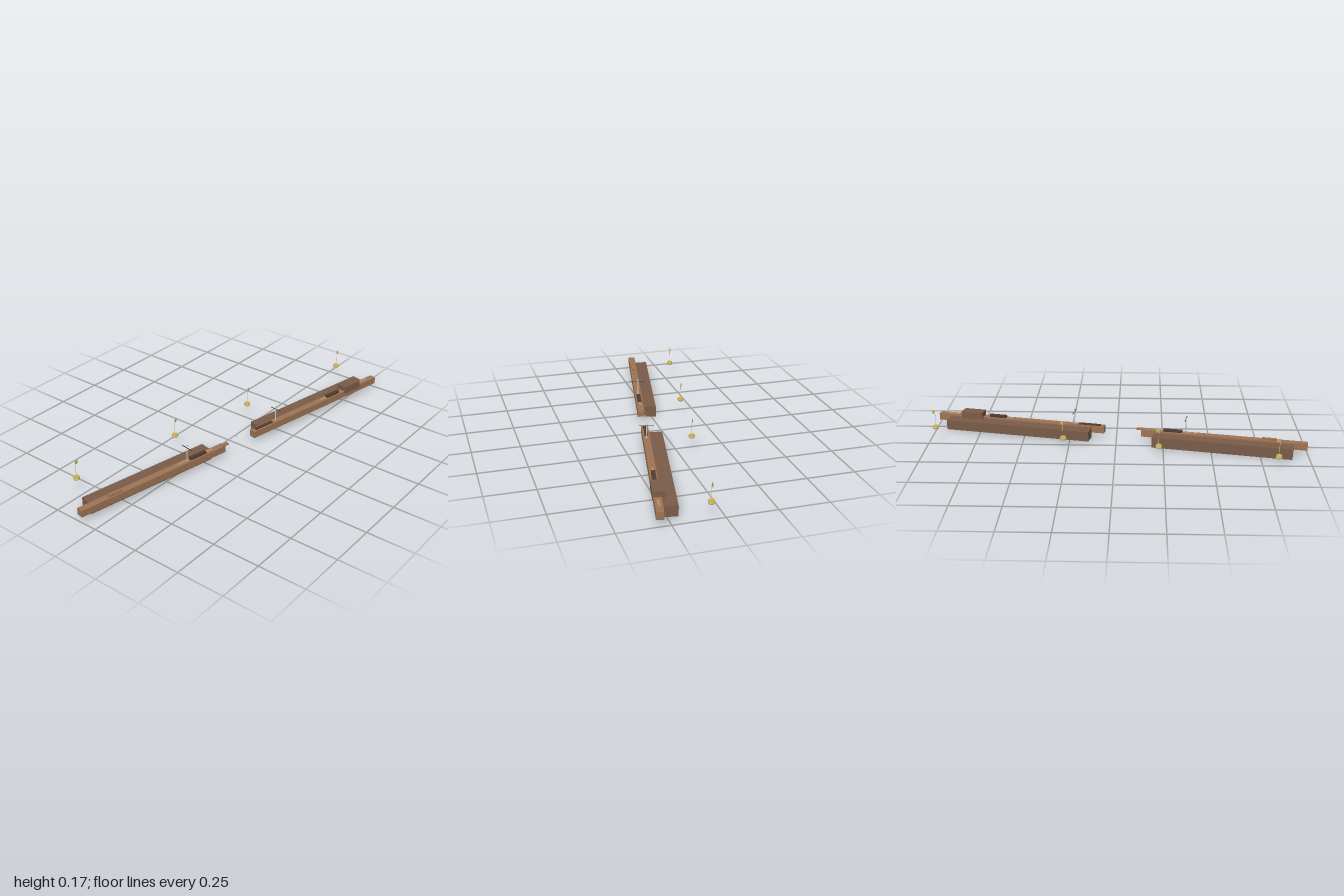
import * as THREE from 'three';

const ANGLE = 0.2; // both quays run at this slant
const mat = (color) => new THREE.MeshStandardMaterial({ color, flatShading: true });
const stone = mat(0x7a5c48), timber = mat(0x9e7353), pale = mat(0xb48a6a);
const dark = mat(0x4f3d31), steel = mat(0xcccccc), yellow = mat(0xd0b23a);
const ink = mat(0x444444);

function add(parent, name, geometry, material, x, y, z) {
  const mesh = new THREE.Mesh(geometry, material);
  mesh.name = name;
  mesh.position.set(x, y, z);
  parent.add(mesh);
  return mesh;
}

// Box of given length, depth, and bottom/top heights, turned along the quay
function slab(parent, name, material, length, depth, y0, y1, x, z) {
  const mesh = add(parent, name, new THREE.BoxGeometry(length, y1 - y0, depth), material, x, (y0 + y1) / 2, z);
  mesh.rotation.y = -ANGLE;
  return mesh;
}

// Slim mast with a slightly tilted crossarm
function mast(parent, x, z, top) {
  const g = new THREE.Group();
  g.name = 'mast';
  g.position.set(x, 0, z);
  add(g, 'mastPole', new THREE.CylinderGeometry(0.0028, 0.0028, top - 0.06, 8), steel, 0, (top + 0.06) / 2, 0);
  const arm = add(g, 'crossarm', new THREE.BoxGeometry(0.003, 0.003, 0.075), ink, 0, top - 0.017, 0);
  arm.rotation.set(-0.05, -ANGLE, 0);
  parent.add(g);
}

// Drum float with a grey band, pole and pennant
function buoy(parent, x, z) {
  const g = new THREE.Group();
  g.name = 'buoy';
  g.position.set(x, 0, z);
  add(g, 'floatTop', new THREE.CylinderGeometry(0.0145, 0.0165, 0.008, 10), yellow, 0, 0.076, 0);
  add(g, 'floatBand', new THREE.CylinderGeometry(0.0172, 0.0172, 0.005, 10), steel, 0, 0.0705, 0);
  add(g, 'floatBottom', new THREE.CylinderGeometry(0.0165, 0.0145, 0.006, 10), yellow, 0, 0.066, 0);
  add(g, 'buoyPole', new THREE.CylinderGeometry(0.0012, 0.0012, 0.088, 6), steel, 0, 0.123, 0);
  add(g, 'pennant', new THREE.BoxGeometry(0.015, 0.019, 0.0015), yellow, 0.0075, 0.157, 0);
  parent.add(g);
}

export function createModel() {
  const model = new THREE.Group();
  model.name = 'harbourQuays';

  // [base length, base x, z, bottom], [beam length, beam x, z, top], mast, deck items [name, material, x, length, depth, top]
  const quays = [
    {
      name: 'rightQuay', base: [0.735, -0.557, -0.062, 0], beam: [0.876, -0.567, -0.014, 0.066],
      mast: [-0.37, 0.027, 0.16],
      items: [
        ['deckCrate', timber, -0.8, 0.075, 0.018, 0.075],
        ['mastPad', pale, -0.4, 0.06, 0.012, 0.069],
        ['deckShed', dark, -0.302, 0.1, 0.02, 0.078],
        ['deckPad', pale, -0.23, 0.045, 0.014, 0.07],
      ],
    },
    {
      name: 'leftQuay', base: [0.807, 0.537, 0.155, 0.004], beam: [0.947, 0.528, 0.205, 0.067],
      mast: [0.228, 0.145, 0.153],
      items: [
        ['deckCrate', dark, 0.145, 0.12, 0.016, 0.073],
        ['mastPad', pale, 0.21, 0.05, 0.014, 0.07],
        ['deckPad', pale, 0.595, 0.06, 0.014, 0.07],
        ['deckShed', dark, 0.657, 0.095, 0.02, 0.08],
        ['endPad', pale, 0.91, 0.06, 0.014, 0.07],
      ],
    },
  ];

  for (const q of quays) {
    const g = new THREE.Group();
    g.name = q.name;
    const [baseL, baseX, baseZ, baseY] = q.base;
    const [beamL, beamX, beamZ, beamTop] = q.beam;
    slab(g, 'quayBase', stone, baseL, 0.073, baseY, 0.058, baseX, baseZ);
    slab(g, 'frontBeam', timber, beamL, 0.036, 0.03, beamTop, beamX, beamZ);
    for (const [name, material, x, length, depth, top] of q.items) {
      slab(g, name, material, length, depth, beamTop - 0.005, top, x, beamZ + Math.tan(ANGLE) * (x - beamX));
    }
    mast(g, ...q.mast);
    model.add(g);
  }

  // Large block house on the left quay
  slab(model, 'blockHouse', stone, 0.12, 0.06, 0.054, 0.095, 0.797, 0.253);
  // Thin landing plate at the inner end of the right quay, and a marker post in the gap
  slab(model, 'landingPlate', timber, 0.045, 0.02, 0.062, 0.069, -0.133, 0.078);
  slab(model, 'markerPost', steel, 0.003, 0.006, 0.064, 0.083, -0.032, 0.08);

  for (const [x, z] of [[-0.822, -0.297], [-0.225, -0.178], [0.273, -0.08], [0.97, 0.059]]) buoy(model, x, z);
  return model;
}
